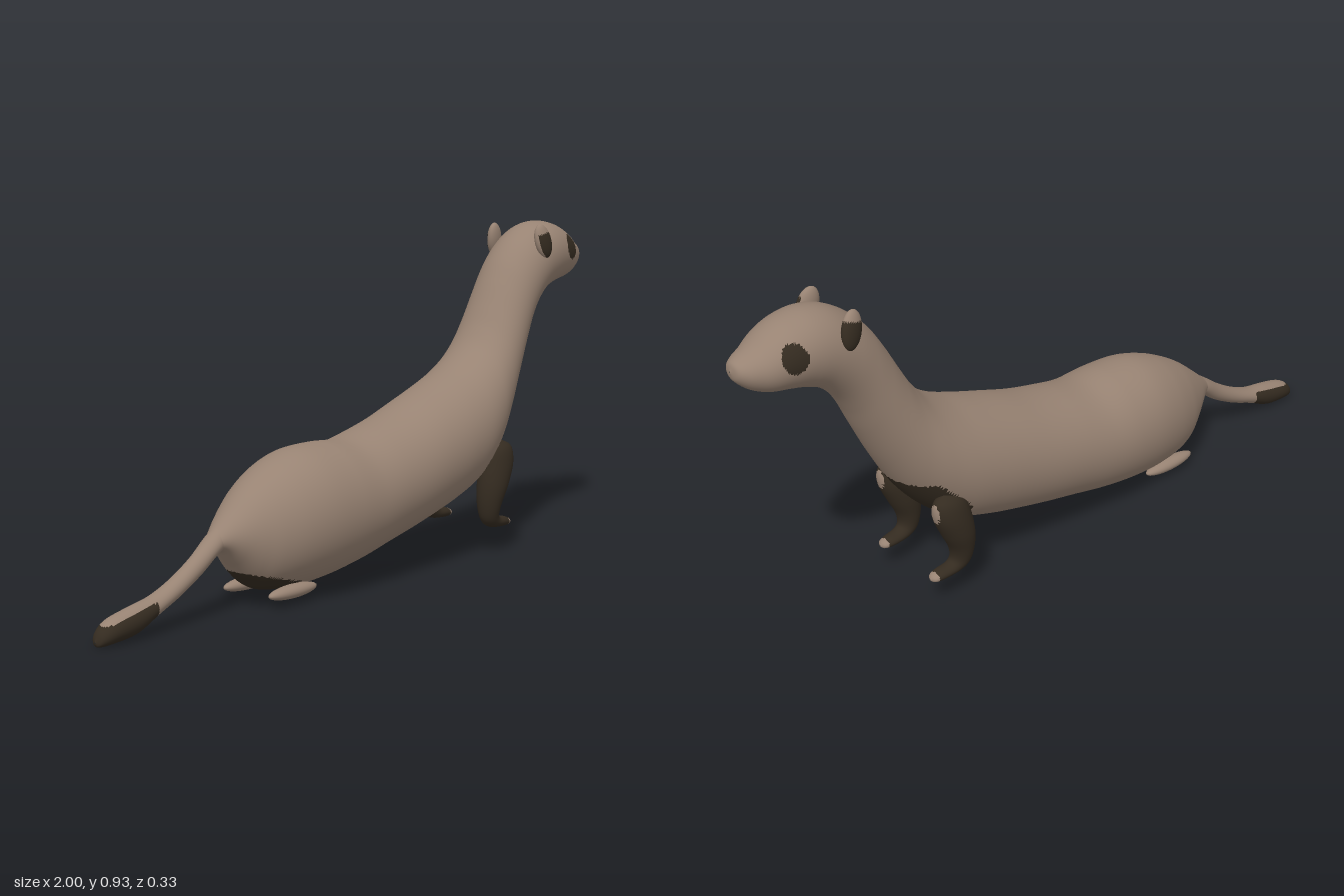
import * as THREE from 'three';

const fur = new THREE.MeshStandardMaterial({ color: 0x988373 });
fur.name = 'brown fur';
const dark = new THREE.MeshStandardMaterial({ color: 0x342b20 });
dark.name = 'dark fur';

// Assign each triangle to fur (0) or dark (1) by a rule on its centroid
function paint(geo, isDark) {
  const p = geo.attributes.position, idx = geo.index.array, lists = [[], []];
  for (let i = 0; i < idx.length; i += 3) {
    const t = [idx[i], idx[i + 1], idx[i + 2]];
    const mid = (get) => (get(t[0]) + get(t[1]) + get(t[2])) / 3;
    const d = isDark(mid((k) => p.getX(k)), mid((k) => p.getY(k)), mid((k) => p.getZ(k)));
    lists[d ? 1 : 0].push(...t);
  }
  geo.setIndex([...lists[0], ...lists[1]]);
  geo.clearGroups();
  geo.addGroup(0, lists[0].length, 0);
  geo.addGroup(lists[0].length, lists[1].length, 1);
  return geo;
}

// Smooth loft of ellipses; each row is [edgeA x, y, edgeB x, y, half width, centre z]
function loft(rows, steps, sides) {
  const curve = (f) => new THREE.CatmullRomCurve3(rows.map(f), false, 'catmullrom', 0.5);
  const ca = curve((r) => new THREE.Vector3(r[0], r[1], r[4]));
  const cb = curve((r) => new THREE.Vector3(r[2], r[3], r[5] || 0));
  const n = (rows.length - 1) * steps, pos = [], index = [];
  for (let i = 0; i <= n; i++) {
    const a = ca.getPoint(i / n), b = cb.getPoint(i / n), w = Math.max(a.z, 0.0005);
    for (let j = 0; j < sides; j++) {
      const t = (j / sides) * Math.PI * 2, c = Math.cos(t) / 2;
      pos.push((a.x + b.x) / 2 + (a.x - b.x) * c, (a.y + b.y) / 2 + (a.y - b.y) * c, b.z + w * Math.sin(t));
      if (i < n) {
        const k = (j + 1) % sides, p = i * sides, q = p + sides;
        index.push(p + j, p + k, q + j, p + k, q + k, q + j);
      }
    }
  }
  const geo = new THREE.BufferGeometry();
  geo.setAttribute('position', new THREE.Float32BufferAttribute(pos, 3));
  geo.setIndex(index);
  geo.computeVertexNormals();
  return geo;
}

// Tail, with a dark underside at the tip
const tailRows = [
  [-1, 0.018, -1, 0.012, 0.001], [-0.985, 0.043, -0.99, 0.003, 0.02], [-0.95, 0.064, -0.95, 0.004, 0.033],
  [-0.88, 0.08, -0.88, 0.012, 0.035], [-0.81, 0.093, -0.81, 0.043, 0.031], [-0.74, 0.122, -0.73, 0.075, 0.027],
  [-0.67, 0.163, -0.655, 0.115, 0.026], [-0.61, 0.207, -0.59, 0.16, 0.03], [-0.56, 0.24, -0.55, 0.16, 0.03],
];

// Torso, rump to shoulders
const torsoRows = [
  [-0.63, 0.19, -0.6, 0.165, 0.02], [-0.6, 0.212, -0.575, 0.157, 0.034], [-0.55, 0.255, -0.54, 0.12, 0.063],
  [-0.5, 0.297, -0.495, 0.07, 0.092], [-0.45, 0.33, -0.45, 0.042, 0.117], [-0.38, 0.364, -0.38, 0.032, 0.142],
  [-0.3, 0.386, -0.29, 0.032, 0.159], [-0.2, 0.39, -0.2, 0.041, 0.165], [-0.1, 0.386, -0.1, 0.058, 0.164],
  [0, 0.405, 0, 0.08, 0.163], [0.1, 0.43, 0.1, 0.101, 0.163], [0.2, 0.464, 0.2, 0.124, 0.162],
  [0.3, 0.499, 0.29, 0.148, 0.161], [0.39, 0.536, 0.38, 0.18, 0.156],
];

// Neck and head, shoulders to nose
const headRows = [
  [0.46, 0.582, 0.46, 0.235, 0.142], [0.505, 0.635, 0.535, 0.32, 0.124], [0.54, 0.695, 0.6, 0.43, 0.111],
  [0.58, 0.768, 0.655, 0.54, 0.103], [0.62, 0.829, 0.69, 0.615, 0.1], [0.67, 0.88, 0.725, 0.67, 0.1],
  [0.73, 0.917, 0.77, 0.712, 0.1], [0.79, 0.931, 0.82, 0.735, 0.098], [0.85, 0.925, 0.87, 0.748, 0.091],
  [0.9, 0.906, 0.915, 0.757, 0.079], [0.94, 0.881, 0.95, 0.772, 0.062], [0.97, 0.868, 0.975, 0.79, 0.047],
  [0.992, 0.856, 0.994, 0.811, 0.027], [1, 0.837, 1, 0.831, 0.001],
];

// Dark markings on the body: chest, underside of the rump, eyes
function bodyMarking(x, y) {
  const chest = x > 0.39 && x < 0.6 && y < Math.min(0.36, 0.28 + (x - 0.41));
  const rump = x > -0.535 && x < -0.35 && y < 0.1 - (x + 0.53) * 0.25;
  const eye = ((x - 0.873) / 0.032) ** 2 + ((y - 0.853) / 0.037) ** 2 < 1;
  return chest || rump || eye;
}

// Front leg, shoulder to toes
const legRows = (s) => [
  [0.47, 0.325, 0.455, 0.325, 0.002, 0.112], [0.505, 0.305, 0.415, 0.3, 0.03, 0.114],
  [0.508, 0.26, 0.397, 0.255, 0.042, 0.114], [0.482, 0.2, 0.386, 0.195, 0.044, 0.113],
  [0.457, 0.15, 0.387, 0.14, 0.036, 0.111], [0.452, 0.118, 0.4, 0.096, 0.028, 0.109],
  [0.465, 0.103, 0.43, 0.075, 0.024, 0.107], [0.495, 0.097, 0.48, 0.069, 0.022, 0.105],
  [0.515, 0.09, 0.512, 0.07, 0.016, 0.105], [0.523, 0.081, 0.523, 0.077, 0.001, 0.105],
].map((r) => [...r.slice(0, 5), r[5] * s]);

export function createModel() {
  const model = new THREE.Group();
  model.name = 'weasel';
  const add = (name, geo, mat = [fur, dark]) => {
    const mesh = new THREE.Mesh(geo, mat);
    mesh.name = name;
    model.add(mesh);
    return mesh;
  };

  add('tail', paint(loft(tailRows, 8, 32), (x, y) => x < -0.82 && y < 0.045 + (x + 1) * 0.2));
  add('body', paint(loft([...torsoRows, ...headRows], 12, 72), bodyMarking));

  for (const s of [1, -1]) {
    const side = s > 0 ? 'left' : 'right';
    add(side + 'FrontLeg', paint(loft(legRows(s), 6, 28), (x) => x < 0.505));

    // Hind paw, flat under the rump
    const paw = new THREE.SphereGeometry(1, 28, 18).scale(0.09, 0.018, 0.023);
    add(side + 'HindPaw', paw, fur).position.set(-0.39, 0.037, 0.077 * s);

    // Ear, dark in its lower front hollow
    const ear = paint(new THREE.SphereGeometry(1, 32, 24), (x, y, z) => z * s + x * 0.6 > 0.1 && y < 0.45);
    ear.scale(0.03, 0.051, 0.018);
    const earMesh = add(side + 'Ear', ear);
    earMesh.position.set(0.715, 0.876, 0.087 * s);
    earMesh.rotation.set(-0.1 * s, -0.15 * s, 0.25);
  }
  return model;
}
